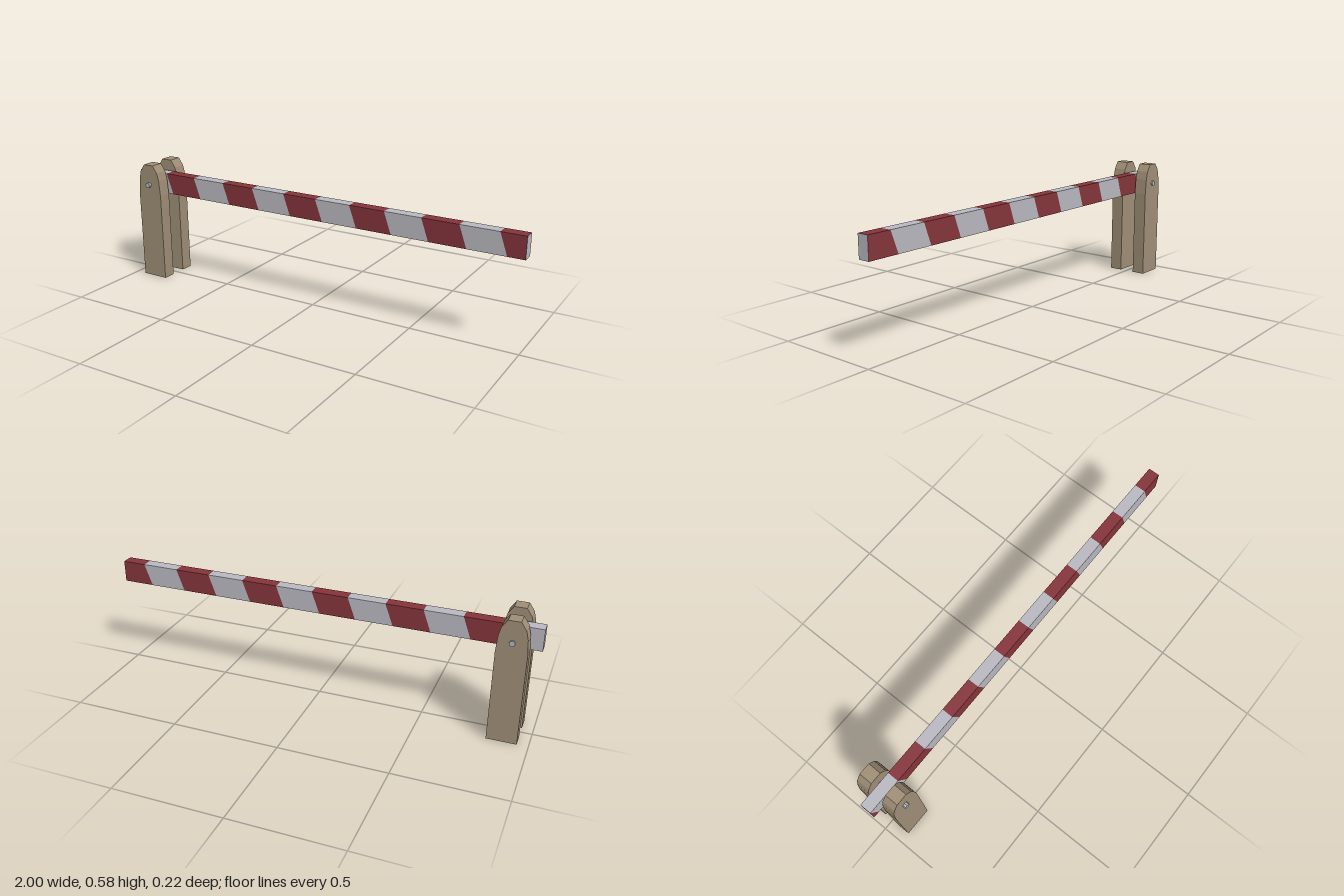
import * as THREE from 'three';

const material = (name, color, extra = {}) => {
  const m = new THREE.MeshStandardMaterial({ color, ...extra });
  m.name = name;
  return m;
};

export function createModel() {
  const wood = material('wood', 0x9f8e76);
  const red = material('red paint', 0x85343b);
  const white = material('white paint', 0xbab8c0);
  const steel = material('steel', 0xb4b8c2);

  const model = new THREE.Group();
  model.name = 'barrierGate';
  const add = (name, geometry, mat) => {
    const mesh = new THREE.Mesh(geometry, mat);
    mesh.name = name;
    model.add(mesh);
    return mesh;
  };

  // Two posts with chamfered round tops
  const pivotX = -0.883;
  const half = [[0.067, 0], [0.067, 0.43], [0.061, 0.505], [0.051, 0.545], [0.027, 0.58]];
  const outline = [...half, ...half.map(([x, y]) => [-x, y]).reverse()];
  const postShape = new THREE.Shape(outline.map(([x, y]) => new THREE.Vector2(x + pivotX, y)));
  for (const [name, z] of [['frontPost', 0.034], ['backPost', -0.104]]) {
    const geometry = new THREE.ExtrudeGeometry(postShape, { depth: 0.063, bevelEnabled: false });
    add(name, geometry, wood).position.z = z;
  }

  // Pivot axle through both posts
  const axle = add('axle', new THREE.CylinderGeometry(0.013, 0.013, 0.223, 8).toNonIndexed(), steel);
  axle.rotation.x = Math.PI / 2;
  axle.position.set(pivotX, 0.48, 0);
  axle.geometry.computeVertexNormals();

  // Beam: a box skin cut into slanted red and white bands
  const top = 0.528, bottom = 0.427, front = 0.023, back = -0.031, slant = 0.036;
  const ring = (x) => [
    [x, top, front], [x + slant, bottom, front], [x - slant, bottom, back], [x, top, back],
  ].map(([px, y, z]) => [THREE.MathUtils.clamp(px, -1, 1), y, z]);
  const skin = { red: [], white: [] };
  const quad = (list, a, b, c, d) => list.push(...a, ...b, ...c, ...a, ...c, ...d);

  const period = 0.344;
  for (let i = 0; i < 7; i++) {
    const start = -1.176 + i * period;
    const cuts = [start, start + 0.17, start + period].map(ring);
    [skin.red, skin.white].forEach((list, k) => {
      const r0 = cuts[k], r1 = cuts[k + 1];
      for (let j = 0; j < 4; j++) {
        const n = (j + 1) % 4;
        quad(list, r0[j], r0[n], r1[n], r1[j]);
      }
    });
  }

  // White beam ends
  quad(skin.white, ...ring(2));
  quad(skin.white, ...ring(-2).reverse());

  const skinGeometry = (list) => {
    const g = new THREE.BufferGeometry();
    g.setAttribute('position', new THREE.Float32BufferAttribute(list, 3));
    g.computeVertexNormals();
    return g;
  };
  add('beamRedBands', skinGeometry(skin.red), red);
  add('beamWhiteBands', skinGeometry(skin.white), white);

  return model;
}
